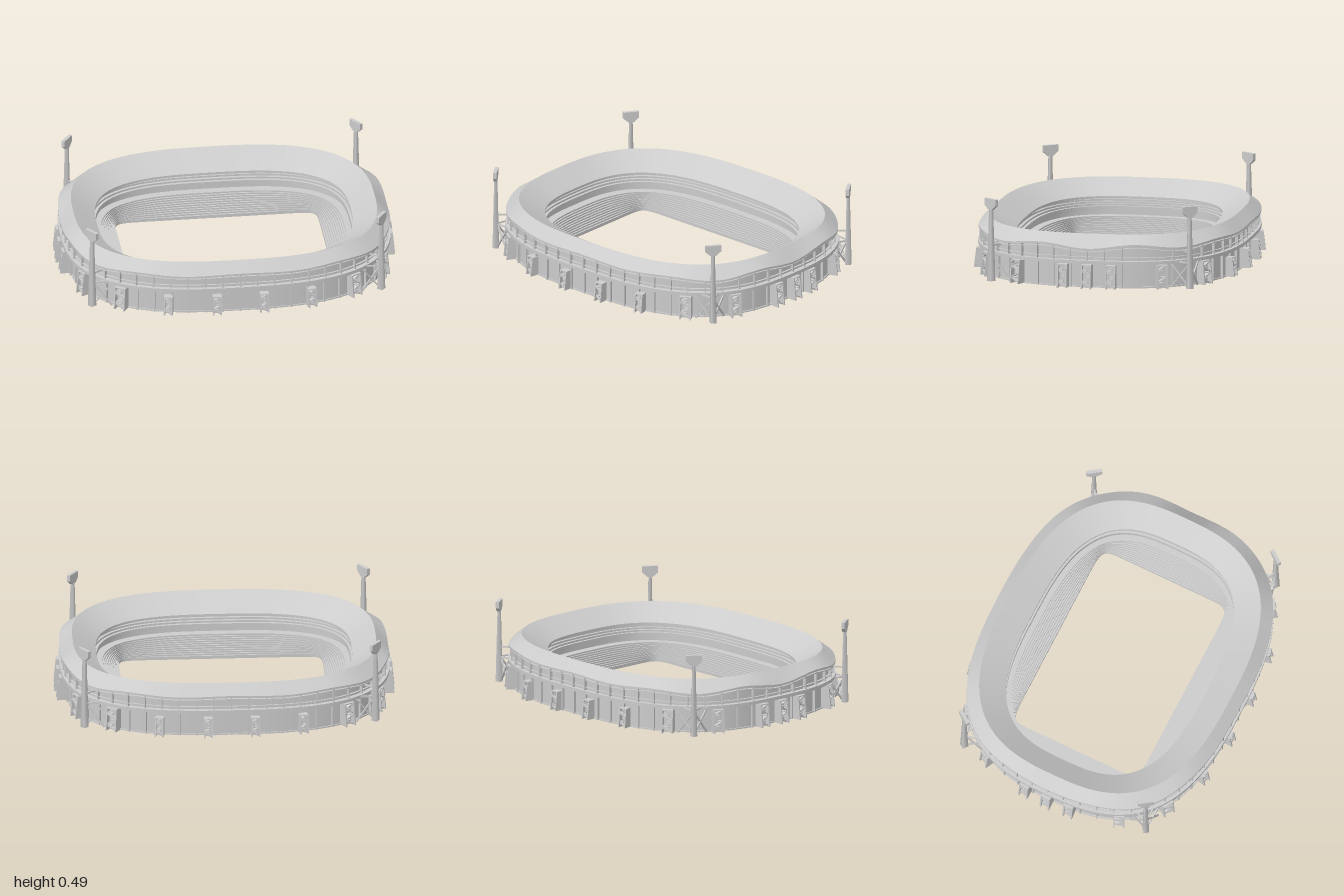
import * as THREE from 'three';

const MAT = new THREE.MeshStandardMaterial({ color: 0xcccccc, roughness: 0.8 });
const A = 0.965, B = 0.79, POW = 2.75, SEG = 280;

// Polar radius of a superellipse plan
const oval = (a, b, n = POW) => (t) =>
  Math.pow(Math.pow(Math.abs(Math.cos(t) / a), n) + Math.pow(Math.abs(Math.sin(t) / b), n), -1 / n);
const scaled = (k) => oval(A * k, B * k);
const mix = (f, g, u) => (t) => f(t) * (1 - u) + g(t) * u;

// Angles that divide the outline into equal lengths, starting at +x
function equalAngles(count) {
  const f = scaled(1), M = 4000, len = [0];
  const at = (i) => {
    const t = (i / M) * Math.PI * 2;
    return [Math.cos(t) * f(t), Math.sin(t) * f(t)];
  };
  for (let i = 1; i <= M; i++) {
    const p = at(i - 1), q = at(i);
    len.push(len[i - 1] + Math.hypot(q[0] - p[0], q[1] - p[1]));
  }
  const out = [];
  for (let k = 0, i = 0; k < count; k++) {
    const target = (k / count) * len[M];
    while (len[i + 1] < target) i++;
    out.push(((i + (target - len[i]) / (len[i + 1] - len[i])) / M) * Math.PI * 2);
  }
  return out;
}
const ANG = equalAngles(SEG);

// Wavy roof edge height: s runs 0..1 around the outline
const edgeY = (s) => 0.25 - (0.009 + 0.006 * Math.cos(4 * Math.PI * s)) * Math.cos(20 * Math.PI * s);

// Loft through rings [radius(t), y or y(s)]; creased between bands, smooth around
function loft(rings, name) {
  const pos = [], idx = [];
  const push = ([r, y]) => ANG.forEach((t, i) => pos.push(
    Math.cos(t) * r(t), typeof y === 'function' ? y(i / SEG) : y, Math.sin(t) * r(t)));
  for (let k = 0; k < rings.length - 1; k++) {
    const o = pos.length / 3;
    push(rings[k]);
    push(rings[k + 1]);
    for (let i = 0; i < SEG; i++) {
      const a = o + i, b = o + ((i + 1) % SEG), c = a + SEG, d = b + SEG;
      idx.push(a, c, b, b, c, d);
    }
  }
  const g = new THREE.BufferGeometry();
  g.setAttribute('position', new THREE.Float32BufferAttribute(pos, 3));
  g.setIndex(idx);
  g.computeVertexNormals();
  return part(g, name);
}
const band = (k0, k1, y0, y1, name) => loft(
  [[scaled(k0), y0], [scaled(k1), y0], [scaled(k1), y1], [scaled(k0), y1], [scaled(k0), y0]], name);

function part(geo, name, x = 0, y = 0, z = 0) {
  const m = new THREE.Mesh(geo, MAT);
  m.name = name;
  m.position.set(x, y, z);
  return m;
}
const box = (w, h, d, name, x, y, z) => part(new THREE.BoxGeometry(w, h, d), name, x, y, z);

// Stand an object on the outline, its local +z facing outward
function onOutline(obj, t, k) {
  const r = scaled(k)(t), x = Math.cos(t) * r, z = Math.sin(t) * r;
  const slope = (v, a) => (Math.sign(v) * Math.pow(Math.abs(v) / a, POW - 1)) / a;
  obj.position.set(x, obj.position.y, z);
  obj.rotation.y = Math.atan2(slope(x, A), slope(z, B));
  return obj;
}

function strut(p, q, w, name) {
  const a = new THREE.Vector3(...p), b = new THREE.Vector3(...q);
  const m = box(w, w, a.distanceTo(b), name);
  m.position.copy(a).lerp(b, 0.5);
  m.lookAt(b);
  return m;
}

// Open stair tower with tapered cheeks and zigzag flights
function stairTower(w, h, d) {
  const g = new THREE.Group();
  g.name = 'stairTower';
  const s = new THREE.Shape([[0.03, 0], [-d, 0], [-d + 0.014, h], [0.03, h]].map((p) => new THREE.Vector2(...p)));
  const cheek = new THREE.ExtrudeGeometry(s, { depth: 0.008, bevelEnabled: false }).rotateY(Math.PI / 2);
  for (const x of [-w / 2, w / 2 - 0.008]) g.add(part(cheek, 'stairCheek', x));
  g.add(box(w, 0.006, d - 0.01, 'stairTop', 0, h - 0.003, (d - 0.018) / 2));
  g.add(box(w, h, 0.01, 'stairBack', 0, h / 2, d * 0.3));
  const n = 4, step = h / n;
  for (let i = 0; i < n; i++) {
    const run = w - 0.016;
    const f = box(Math.hypot(run, step * 0.7), 0.007, d * 0.5, 'stairFlight', 0, (i + 0.5) * step, d * 0.55);
    f.rotation.z = (i % 2 ? 1 : -1) * Math.atan2(step * 0.7, run);
    g.add(f);
    if (i) g.add(box(w * 0.55, 0.004, d * 0.5, 'stairLanding', (i % 2 ? -1 : 1) * w * 0.2, i * step, d * 0.55));
  }
  return g;
}

// Floodlight mast, local +z facing outward
function floodlight() {
  const g = new THREE.Group();
  g.name = 'floodlight';
  g.add(part(new THREE.CylinderGeometry(0.012, 0.025, 0.44, 4).rotateY(Math.PI / 4), 'mast', 0, 0.22, 0));
  const s = new THREE.Shape([[-0.016, 0.425], [0.016, 0.425], [0.047, 0.452], [0.047, 0.49],
    [-0.047, 0.49], [-0.047, 0.452]].map((p) => new THREE.Vector2(...p)));
  g.add(part(new THREE.ExtrudeGeometry(s, { depth: 0.02, bevelEnabled: false }), 'lampHead', 0, 0, -0.01));
  // Crossed braces and ties back to the wall
  for (const x of [-1, 1]) {
    g.add(strut([0, 0.005, -0.01], [x * 0.085, 0.145, -0.075], 0.009, 'brace'));
    g.add(strut([x * 0.085, 0.005, -0.08], [0, 0.145, -0.01], 0.009, 'brace'));
    g.add(strut([0, 0.15, 0], [x * 0.06, 0.155, -0.08], 0.009, 'tie'));
  }
  g.add(strut([0, 0.21, 0], [0, 0.21, -0.085], 0.009, 'tie'));
  return g;
}

export function createModel() {
  const root = new THREE.Group();
  root.name = 'stadium';
  const hole = oval(0.6, 0.415, 16), tierBack = oval(0.725, 0.54, 3);
  const opening = oval(0.75, 0.565, 2.9), crest = oval(0.89, 0.725);
  const roofBack = oval(0.875, 0.71);

  // Facade and roof shell
  const fascia = (s) => edgeY(s) - 0.012;
  root.add(loft([[scaled(0.965), 0], [scaled(0.965), 0.15], [scaled(0.972), 0.15], [scaled(0.972), fascia]], 'outerWall'));
  root.add(loft([[scaled(0.97), fascia], [scaled(1), fascia], [scaled(1), edgeY], [crest, 0.312],
    [opening, 0.222], [opening, 0.208], [roofBack, 0.29]], 'roof'));
  root.add(band(0.95, 1.003, 0.144, 0.164, 'walkway'));
  root.add(band(0.96, 0.985, 0.178, 0.183, 'handrail'));
  root.add(loft([[scaled(0.965), (s) => edgeY(s) - 0.028], [scaled(0.99), (s) => edgeY(s) - 0.028],
    [scaled(0.99), (s) => edgeY(s) - 0.022], [scaled(0.965), (s) => edgeY(s) - 0.022]], 'eavesRail'));
  root.add(band(0.955, 0.973, 0, 0.008, 'plinth'));

  // Stepped seating, from the back row down to the pitch
  const tier = (from, to, y0, y1, n) => {
    const rings = [];
    for (let i = 0; i < n; i++) {
      const y = y0 + ((y1 - y0) * i) / n;
      rings.push([mix(from, to, i / n), y], [mix(from, to, (i + 1) / n), y]);
    }
    return rings;
  };
  const upperFront = oval(0.745, 0.56, 3);
  root.add(loft([[roofBack, 0.29], ...tier(roofBack, upperFront, 0.24, 0.152, 8),
    [upperFront, 0.135], [oval(0.765, 0.58, 3), 0.135]], 'upperTier'));
  root.add(loft([[oval(0.765, 0.58, 3), 0.135], [oval(0.765, 0.58, 3), 0.11], [tierBack, 0.11]], 'concourse'));
  root.add(loft([...tier(tierBack, hole, 0.11, 0.01, 11), [hole, 0]], 'lowerTier'));
  root.add(loft([[hole, 0], [scaled(0.965), 0]], 'base'));

  // Vertical fins and gallery posts
  const N = 56;
  equalAngles(N).forEach((t, i) => {
    root.add(onOutline(box(0.008, 0.145, 0.026, 'wallFin', 0, 0.0725, 0), t, 0.967));
    const top = fascia(i / N);
    root.add(onOutline(box(0.007, top - 0.16, 0.02, 'galleryPost', 0, (top + 0.16) / 2, 0), t, 0.981));
  });

  // Stair towers: x, z, width, height, depth; mirrored to all quarters
  const towers = [
    [0.145, 0.8, 0.052, 0.115, 0.056], [0.44, 0.77, 0.052, 0.115, 0.056],
    [0.725, 0.675, 0.07, 0.14, 0.06], [0.9, 0.44, 0.065, 0.14, 0.06],
    [0.97, 0.148, 0.06, 0.14, 0.065], [0.97, 0, 0.06, 0.14, 0.069],
  ];
  for (const [x, z, w, h, d] of towers)
    for (const sx of [-1, 1])
      for (const sz of z ? [-1, 1] : [1])
        root.add(onOutline(stairTower(w, h, d), Math.atan2(z * sz, x * sx), 0.965));

  // Corner floodlights
  for (const sx of [-1, 1])
    for (const sz of [-1, 1]) {
      const f = onOutline(floodlight(), Math.atan2(0.595 * sz, 0.86 * sx), 1);
      f.position.set(0.855 * sx, 0, 0.595 * sz);
      f.rotation.y = Math.atan2(0.82 * sx, 0.57 * sz);
      root.add(f);
    }
  return root;
}
